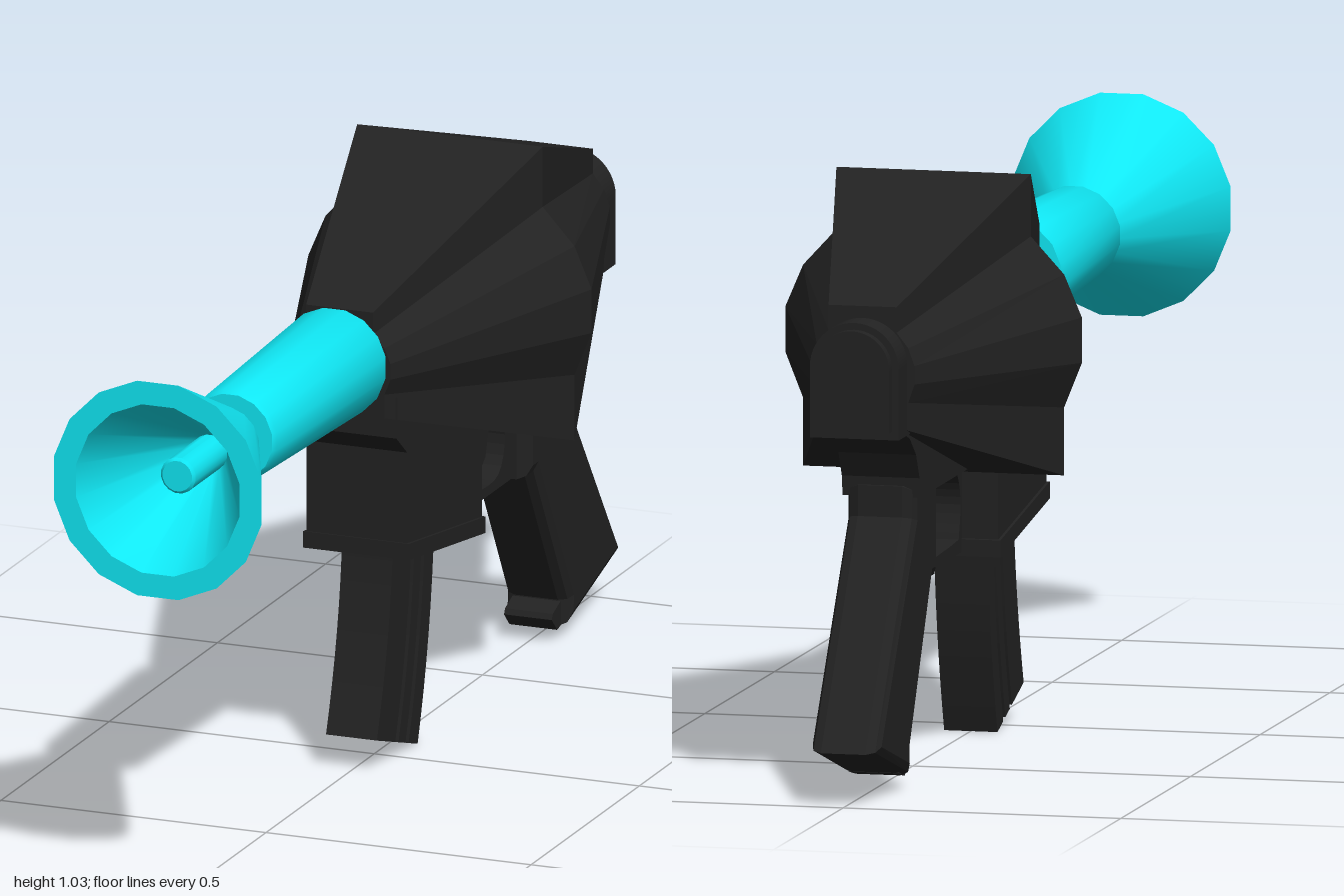
import * as THREE from 'three';
import { toCreasedNormals } from 'three/addons/utils/BufferGeometryUtils.js';

const AXIS_Y = 0.77;

export function createModel() {
  const model = new THREE.Group();
  model.name = 'toyBlaster';
  const black = new THREE.MeshStandardMaterial({ color: 0x222222 });
  const cyan = new THREE.MeshStandardMaterial({ color: 0x10e8f5 });

  const add = (name, geometry, material = black) => {
    const mesh = new THREE.Mesh(geometry, material);
    mesh.name = name;
    model.add(mesh);
    return mesh;
  };
  const toShape = (pts) => new THREE.Shape(pts.map(([a, b]) => new THREE.Vector2(a, b)));

  // Side profile in (z, y), extruded across x and centred; optional chamfer
  const sideExtrude = (shape, half, bevel = 0) => {
    const g = new THREE.ExtrudeGeometry(shape, {
      depth: 2 * (half - bevel), bevelEnabled: bevel > 0, bevelThickness: bevel,
      bevelSize: bevel, bevelOffset: -bevel, bevelSegments: 2, curveSegments: 10,
    });
    g.translate(0, 0, bevel - half);
    g.rotateY(-Math.PI / 2);
    return g;
  };

  // Turned parts: (radius, z) profile around the barrel axis
  const turned = (pts) => {
    const g = new THREE.LatheGeometry(pts.map(([r, z]) => new THREE.Vector2(r, z)), 16, Math.PI / 16);
    g.rotateX(Math.PI / 2);
    g.translate(0, AXIS_Y, 0);
    return toCreasedNormals(g, 0.6);
  };

  add('flaredMuzzle', turned([
    [0, 0.685], [0.065, 0.69], [0.2, 1], [0.157, 1], [0.033, 0.76],
    [0.033, 0.905], [0.028, 0.91], [0, 0.91],
  ]), cyan);
  add('barrel', turned([
    [0.07, 0.14], [0.07, 0.18], [0.097, 0.18], [0.1, 0.19], [0.085, 0.655],
    [0.08, 0.665], [0.05, 0.665], [0.05, 0.69],
  ]), cyan);

  add('body', bodyGeometry());

  // Lower receiver under the body, with a concave tail
  add('lowerReceiver', sideExtrude(toShape([
    [-0.2, 0.7], [-0.86, 0.7], [-0.86, 0.645], [-0.8, 0.625], [-0.755, 0.59],
    [-0.73, 0.545], [-0.725, 0.51], [-0.2, 0.51],
  ]), 0.07));

  // Magazine well and its slanted lip
  add('magazineWell', sideExtrude(toShape([
    [0.13, 0.7], [0.13, 0.625], [0.08, 0.585], [0.08, 0.4], [-0.265, 0.35], [-0.265, 0.6],
  ]), 0.095));
  add('magazineWellLip', sideExtrude(toShape([
    [0.085, 0.42], [0.085, 0.39], [-0.27, 0.338], [-0.27, 0.368],
  ]), 0.1));

  // Curved magazine: thin core plus three raised ribs
  const front = new THREE.QuadraticBezierCurve(
    new THREE.Vector2(0.03, 0.41), new THREE.Vector2(0.04, 0.24), new THREE.Vector2(0.105, 0.06));
  const back = new THREE.QuadraticBezierCurve(
    new THREE.Vector2(-0.16, 0.38), new THREE.Vector2(-0.145, 0.18), new THREE.Vector2(-0.083, 0));
  const strip = (u0, u1, half) => {
    const edge = (u) => Array.from({ length: 9 }, (_, i) =>
      front.getPoint(i / 8).lerp(back.getPoint(i / 8), u));
    return sideExtrude(new THREE.Shape([...edge(u0), ...edge(u1).reverse()]), half);
  };
  add('magazine', strip(0.01, 0.99, 0.04));
  [[0, 0.45], [0.53, 0.7], [0.78, 1]].forEach(([a, b]) => add('magazineRib', strip(a, b, 0.048)));

  // Trigger guard with a rounded opening
  const guard = toShape([[-0.25, 0.56], [-0.25, 0.345], [-0.6, 0.345], [-0.6, 0.56]]);
  guard.holes.push(new THREE.Path(new THREE.SplineCurve([
    [-0.29, 0.37], [-0.276, 0.43], [-0.295, 0.48], [-0.34, 0.51], [-0.42, 0.512],
    [-0.49, 0.508], [-0.53, 0.435], [-0.5, 0.37], [-0.4, 0.365], [-0.29, 0.37],
  ].map(([a, b]) => new THREE.Vector2(a, b))).getPoints(36)));
  add('triggerGuard', sideExtrude(guard, 0.03));
  add('trigger', sideExtrude(toShape([
    [-0.44, 0.53], [-0.475, 0.53], [-0.485, 0.455], [-0.47, 0.41], [-0.437, 0.385],
    [-0.427, 0.4], [-0.453, 0.435], [-0.453, 0.475],
  ]), 0.018));

  // Raked pistol grip with a small toe
  add('grip', sideExtrude(toShape([
    [-0.56, 0.53], [-0.735, 0.53], [-0.735, 0.475], [-1, 0.095], [-0.75, 0.022],
    [-0.75, 0.07], [-0.595, 0.345], [-0.56, 0.345],
  ]), 0.062, 0.022));
  add('gripToe', sideExtrude(toShape([
    [-0.78, 0.06], [-0.78, 0.03], [-0.735, 0.02], [-0.71, 0.045], [-0.715, 0.055], [-0.75, 0.068],
  ]), 0.045));

  // Arched rear cap: outer collar, then a smaller end plate
  const arch = (half, top, bottom) => {
    const s = new THREE.Shape();
    s.moveTo(-half, bottom);
    s.lineTo(half, bottom);
    s.lineTo(half, top - half);
    s.absarc(0, top - half, half, 0, Math.PI, false);
    s.closePath();
    return s;
  };
  [['rearCollar', 0.08, 0.845, 0.64, -0.92], ['rearPlate', 0.068, 0.833, 0.655, -0.94]]
    .forEach(([name, half, top, bottom, z]) => {
      const g = new THREE.ExtrudeGeometry(arch(half, top, bottom), {
        depth: -0.84 - z, bevelEnabled: false, curveSegments: 12,
      });
      g.translate(0, 0, z);
      add(name, toCreasedNormals(g, 0.5));
    });

  return model;
}

// Faceted body: one cross-section, widest in the middle and scaled down at both ends
function bodyGeometry() {
  const right = [[0.175, 1.03], [0.175, 0.92], [0.235, 0.855], [0.267, 0.78],
    [0.267, 0.7], [0.235, 0.62], [0.235, 0.5]];
  const section = [...right, ...right.map(([x, y]) => [-x, y]).reverse()];
  const ring = (z, sx, sy, cy) => section.map(([x, y]) => [x * sx, cy + (y - cy) * sy, z]);
  const rings = [ring(-0.86, 0.35, 0.41, 0.752), ring(-0.35, 1, 1, 0.77), ring(0.16, 0.36, 0.36, 0.765)];
  const n = section.length;
  const pos = [];
  const tri = (...corners) => corners.forEach((c) => pos.push(...c));
  for (let i = 0; i < n; i++) {
    const j = (i + 1) % n;
    for (let k = 0; k < 2; k++) {
      const [p, q] = [rings[k], rings[k + 1]];
      tri(p[i], q[i], q[j]);
      tri(p[i], q[j], p[j]);
    }
    tri([0, 0.755, -0.86], rings[0][i], rings[0][j]);
    tri([0, 0.765, 0.16], rings[2][j], rings[2][i]);
  }
  const g = new THREE.BufferGeometry();
  g.setAttribute('position', new THREE.Float32BufferAttribute(pos, 3));
  g.computeVertexNormals();
  return g;
}
